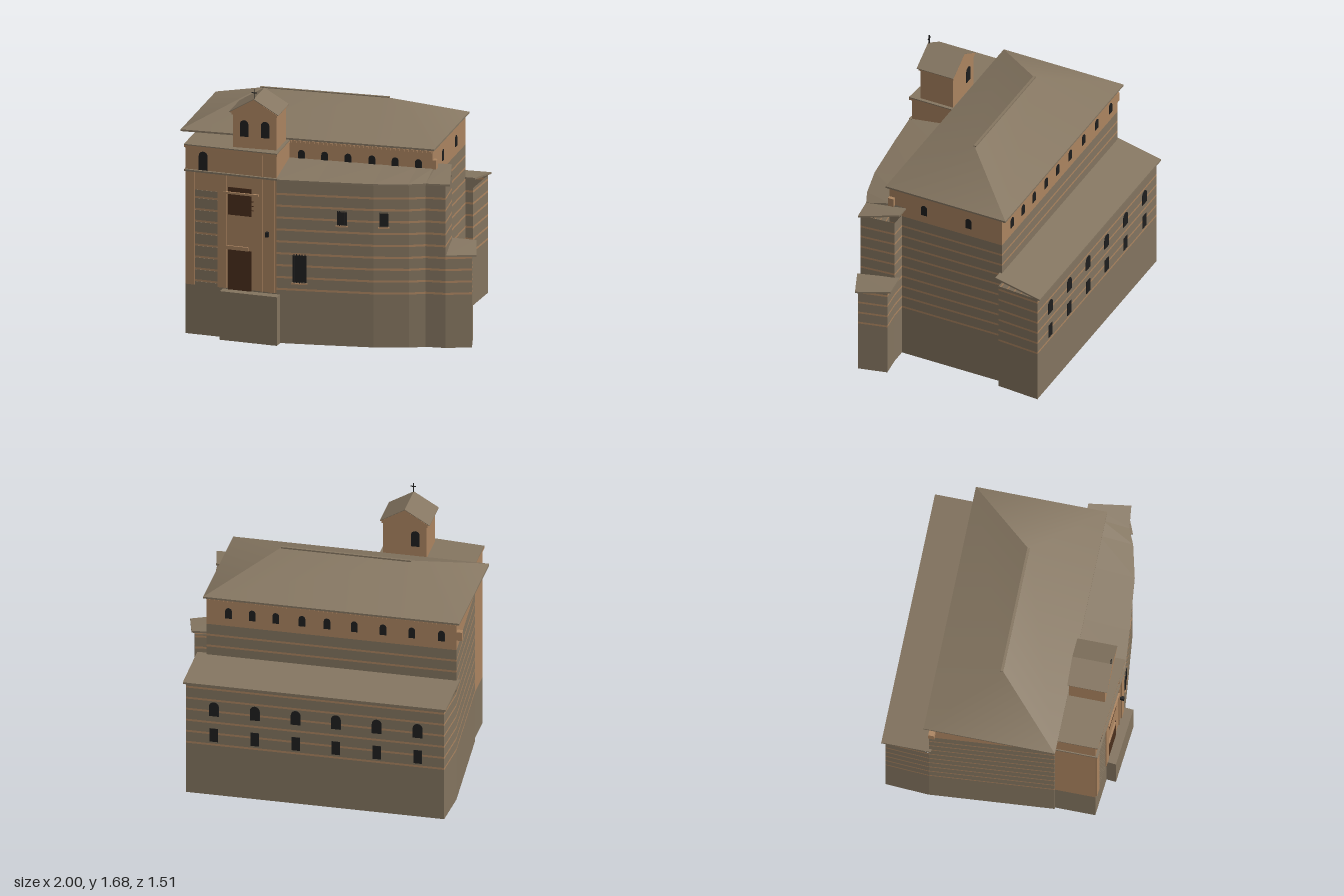
import * as THREE from 'three';
import { mergeGeometries } from 'three/addons/utils/BufferGeometryUtils.js';

const mat = (name, color, side = THREE.DoubleSide) => {
  const m = new THREE.MeshStandardMaterial({ color, side });
  m.name = name;
  return m;
};

export function createModel() {
  const stone = mat('stone', 0x83745f);
  const brick = mat('brick', 0xab8460);
  const tile = mat('roofTile', 0x857661);
  const iron = mat('darkIron', 0x1e1e1e, THREE.FrontSide);
  const wood = mat('darkWood', 0x4a2f1d, THREE.FrontSide);

  const model = new THREE.Group();
  model.name = 'church';
  const group = (name) => {
    const g = new THREE.Group();
    g.name = name;
    model.add(g);
    return g;
  };
  const add = (name, geo, material, parent = model) => {
    const m = new THREE.Mesh(geo, material);
    m.name = name;
    parent.add(m);
    return m;
  };
  const box = (name, w, h, d, x, y, z, material, parent, ry = 0) => {
    const m = add(name, new THREE.BoxGeometry(w, h, d), material, parent);
    m.position.set(x, y, z);
    m.rotation.y = ry;
    return m;
  };
  const flatGeometry = (pos) => {
    const geo = new THREE.BufferGeometry();
    geo.setAttribute('position', new THREE.Float32BufferAttribute(pos, 3));
    geo.computeVertexNormals();
    return geo;
  };
  const pushQuad = (pos, a, b, c, d) => pos.push(...a, ...b, ...c, ...a, ...c, ...d);

  // Solid vertical prism over an [x, z] outline
  const prism = (outline, y0, y1) => {
    const shape = new THREE.Shape(outline.map(([x, z]) => new THREE.Vector2(x, -z)));
    return new THREE.ExtrudeGeometry(shape, { depth: y1 - y0, bevelEnabled: false })
      .rotateX(-Math.PI / 2).translate(0, y0, 0);
  };
  // Hollow wall along an [x, z] path, open at top and bottom
  const wall = (path, y0, y1) => {
    const pos = [];
    for (let i = 0; i + 1 < path.length; i++) {
      const [[ax, az], [bx, bz]] = [path[i], path[i + 1]];
      pushQuad(pos, [ax, y0, az], [bx, y0, bz], [bx, y1, bz], [ax, y1, az]);
    }
    return flatGeometry(pos);
  };
  // Stone wall divided by thin brick courses
  const stripes = [0.364, 0.444, 0.524, 0.604, 0.684, 0.764, 0.844, 0.924, 1.003];
  const bandedWall = (name, path, y0, y1) => {
    const g = group(name);
    const stones = [], bricks = [];
    let y = y0;
    for (const s of stripes) {
      if (s + 0.007 > y1) continue;
      stones.push(wall(path, y, s - 0.007));
      bricks.push(wall(path, s - 0.007, s + 0.007));
      y = s + 0.007;
    }
    stones.push(wall(path, y, y1));
    add(name + 'Stone', mergeGeometries(stones), stone, g);
    add(name + 'Courses', mergeGeometries(bricks), brick, g);
  };

  // Roof slab lofted from front edge A to rear edge B, in order of rising x
  const slab = (name, A, B, t = 0.012) => {
    const low = ([x, y, z]) => [x, y - t, z];
    const rings = A.map((a, i) => [a, B[i], low(B[i]), low(a)]);
    const pos = [];
    for (let i = 0; i + 1 < rings.length; i++)
      for (let j = 0; j < 4; j++) {
        const k = (j + 1) % 4;
        pushQuad(pos, rings[i][j], rings[i + 1][j], rings[i + 1][k], rings[i][k]);
      }
    pushQuad(pos, ...rings[0]);
    pushQuad(pos, ...rings[rings.length - 1].slice().reverse());
    add(name, flatGeometry(pos), tile);
  };

  // Thin window plate, arched or square, standing on y
  const windowPlate = (w, h, arched) => {
    const s = new THREE.Shape();
    const r = w / 2;
    s.moveTo(-r, 0);
    s.lineTo(r, 0);
    if (arched) {
      s.lineTo(r, h - r);
      s.absarc(0, h - r, r, 0, Math.PI, false);
    } else {
      s.lineTo(r, h);
      s.lineTo(-r, h);
    }
    s.closePath();
    return new THREE.ExtrudeGeometry(s, { depth: 0.003, bevelEnabled: false, curveSegments: 6 });
  };
  const windowAt = (name, w, h, x, y, z, ry, arched = true, parent = model) => {
    const m = add(name, windowPlate(w, h, arched), iron, parent);
    m.position.set(x, y, z);
    m.rotation.y = ry;
  };

  // Bent street front: tower on the left, wing to the right
  const front = [[-0.89, 0.635], [-0.27, 0.69], [0, 0.665], [0.36, 0.625], [0.58, 0.57], [0.68, 0.523], [0.81, 0.515]];
  const frontAt = (x) => {
    let i = 0;
    while (i < front.length - 2 && x > front[i + 1][0]) i++;
    const [a, b] = [front[i], front[i + 1]];
    const k = (b[1] - a[1]) / (b[0] - a[0]);
    return { z: a[1] + k * (x - a[0]), ry: -Math.atan(k) };
  };
  const frontBox = (name, x0, x1, y0, y1, depth, material, parent) => {
    const x = (x0 + x1) / 2;
    const { z, ry } = frontAt(x);
    box(name, x1 - x0, y1 - y0, depth, x, (y0 + y1) / 2, z + depth / 2 - 0.001, material, parent, ry);
  };

  // Main hall, its left wall running slightly askew
  const hall = [[-0.965, -0.44], [-0.9, 0.37], [0.685, 0.37], [0.685, -0.44], [-0.965, -0.44]];
  bandedWall('hallWall', hall, 0, 1.08);
  add('hallUpperWall', wall(hall, 1.08, 1.28), brick);
  const dentils = [];
  for (let x = -0.95; x < 0.68; x += 0.03)
    for (const z of [-0.446, 0.376])
      if (z < 0 || x > -0.26) dentils.push(new THREE.BoxGeometry(0.014, 0.016, 0.014).translate(x, 1.265, z));
  add('corniceDentils', mergeGeometries(dentils), brick);
  box('cornerBlockRight', 0.045, 0.06, 0.04, 0.686, 1.18, 0.35, brick);
  box('cornerBlockLeft', 0.05, 0.06, 0.04, -0.975, 1.18, -0.42, brick);

  // Hipped roof, rounded over two of its hips
  const hipPoints = [[-0.99, 1.29, 0.39], [0.7, 1.29, 0.39], [0.7, 1.29, -0.472], [-0.99, 1.29, -0.472],
    [-0.57, 1.48, -0.037], [0.28, 1.48, -0.037]];
  const hipSide = (index) => {
    const geo = new THREE.BufferGeometry();
    geo.setAttribute('position', new THREE.Float32BufferAttribute(hipPoints.flat(), 3));
    geo.setIndex(index);
    geo.computeVertexNormals();
    return geo;
  };
  const hallRoof = group('hallRoof');
  add('frontAndRightSlope', hipSide([0, 1, 5, 0, 5, 4, 1, 2, 5]), tile, hallRoof);
  add('backAndLeftSlope', hipSide([2, 3, 4, 2, 4, 5, 3, 0, 4]), tile, hallRoof);
  box('hallEave', 1.69, 0.012, 0.862, -0.145, 1.284, -0.041, tile, hallRoof);
  box('ridgeCap', 0.86, 0.01, 0.016, -0.145, 1.48, -0.042, tile, hallRoof);

  // Hall windows
  const hallWindows = group('hallWindows');
  for (const x of [-0.19, -0.035, 0.12, 0.28, 0.435, 0.59])
    windowAt('frontHallWindow', 0.045, 0.075, x, 1.135, 0.37, 0, true, hallWindows);
  for (const x of [0.54, 0.384, 0.228, 0.055, -0.11, -0.29, -0.48, -0.67, -0.866])
    windowAt('backHallWindow', 0.043, 0.075, x, 1.135, -0.44, Math.PI, true, hallWindows);
  for (const z of [0.12, -0.2])
    windowAt('sideHallWindow', 0.043, 0.075, 0.685, 1.137, z, Math.PI / 2, true, hallWindows);

  // Rear aisle with lean-to roof
  bandedWall('aisleWall', [[-0.966, -0.44], [-0.95, -0.73], [0.755, -0.73], [0.735, -0.44], [0.685, -0.44]], 0, 0.79);
  slab('aisleRoof', [[-0.985, 0.862, -0.425], [0.75, 0.862, -0.425]],
    [[-0.965, 0.805, -0.755], [0.77, 0.805, -0.755]]);
  const aisleWindows = group('aisleWindows');
  for (const x of [0.57, 0.3, 0.03, -0.235, -0.505, -0.775]) {
    windowAt('aisleUpperWindow', 0.065, 0.1, x, 0.57, -0.73, Math.PI, true, aisleWindows);
    windowAt('aisleLowerWindow', 0.055, 0.095, x, 0.385, -0.73, Math.PI, false, aisleWindows);
  }

  // Curved front wing and its roof
  bandedWall('wingWall', [...front.slice(1), [0.79, 0.28], [0.685, 0.28]], 0, 1.09);
  const wingEdge = [...front.slice(1, 5), [0.685, 0.523], [0.69, 0.523], [0.84, 0.505]];
  slab('wingRoof', wingEdge.map(([x, z]) => [x, 1.103, z + 0.015]),
    wingEdge.map(([x], i) => [i === 6 ? 0.78 : x, 1.155, i > 4 ? 0.25 : 0.36]));

  // Low side porch
  bandedWall('porchWall', [[0.81, 0.515], [0.97, 0.455], [0.925, 0.265], [0.79, 0.28]], 0, 0.615);
  slab('porchRoof', [[0.82, 0.63, 0.535], [1.0, 0.625, 0.46]], [[0.78, 0.662, 0.25], [0.94, 0.655, 0.235]]);

  // Barred windows on the wing
  const barred = group('barredWindows');
  for (const [x, w, y0, y1] of [[0.155, 0.065, 0.815, 0.9], [0.425, 0.06, 0.815, 0.9], [-0.12, 0.09, 0.415, 0.595]]) {
    frontBox('wingWindow', x - w / 2, x + w / 2, y0, y1, 0.004, iron, barred);
    for (let i = 0; i < 5; i++) {
      const bx = x - w / 2 + (w * (i + 0.5)) / 5;
      frontBox('windowBar', bx - 0.003, bx + 0.003, y0 - 0.005, y1 + 0.008, 0.007, iron, barred);
    }
    frontBox('windowSill', x - w / 2 - 0.008, x + w / 2 + 0.008, y0 - 0.014, y0 - 0.005, 0.01, brick, barred);
  }

  // Entrance tower
  const towerFace = [[-0.89, 0.36], ...front.slice(0, 2)];
  const tower = [...towerFace, [-0.27, 0.36]];
  const wider = tower.map(([x, z]) => [x + (x < -0.5 ? -0.007 : 0.007), z > 0.5 ? z + 0.017 : z]);
  add('towerBase', wall(towerFace, 0, 0.335), stone);
  add('towerWall', wall(towerFace, 0.335, 1.095), brick);
  add('towerUpperWall', wall(tower, 1.095, 1.262), brick);
  add('towerStringCourse', prism(wider, 1.095, 1.107), tile);
  add('towerCornice', prism(wider, 1.255, 1.27), brick);
  add('towerRoof', prism(wider, 1.27, 1.277), tile);
  const facade = group('towerFacade');
  let panelY = 0.335;
  for (const s of [...stripes.filter((v) => v < 0.95), 0.98]) {
    frontBox('stonePanel', -0.825, -0.67, panelY, s - 0.007, 0.004, stone, facade);
    panelY = s + 0.007;
  }
  for (const [a, b] of [[-0.88, -0.825], [-0.67, -0.61], [-0.325, -0.28]])
    frontBox('pilaster', a, b, 0.335, 1.095, 0.01, brick, facade);
  frontBox('door', -0.6, -0.44, 0.325, 0.597, 0.006, wood, facade);
  frontBox('doorLintel', -0.61, -0.46, 0.597, 0.622, 0.012, brick, facade);
  frontBox('upperWindow', -0.6, -0.44, 0.83, 1.015, 0.006, wood, facade);
  frontBox('upperLintel', -0.63, -0.39, 0.972, 0.985, 0.018, brick, facade);
  for (const y of [0.87, 0.9, 0.93]) frontBox('windowRail', -0.45, -0.425, y, y + 0.004, 0.008, wood, facade);
  frontBox('drainPipe', -0.373, -0.365, 0.335, 1.255, 0.008, brick, facade);
  frontBox('wallLamp', -0.34, -0.32, 0.71, 0.742, 0.028, iron, facade);
  const tw = frontAt(-0.77);
  windowAt('towerWindow', 0.06, 0.125, -0.77, 1.108, tw.z, tw.ry, true, facade);

  // Entrance platform
  add('entrancePlatform', prism([[-0.64, 0.72], [-0.25, 0.755], [-0.245, 0.69], [-0.635, 0.655]], 0, 0.327), stone);

  // Bell turret with gabled roof and cross
  const turret = group('bellTurret');
  const profile = (points, depth, z) => new THREE.ExtrudeGeometry(
    new THREE.Shape(points.map(([x, y]) => new THREE.Vector2(x, y))),
    { depth, bevelEnabled: false }).translate(-0.432, 0, z);
  box('turretWalls', 0.29, 0.24, 0.235, -0.43, 1.39, 0.5175, brick, turret);
  box('turretCornice', 0.305, 0.018, 0.25, -0.43, 1.508, 0.52, brick, turret);
  add('turretGable', profile([[-0.162, 1.515], [0.162, 1.515], [0, 1.611]], 0.263, 0.391), brick, turret);
  add('turretRoof', profile([[-0.164, 1.515], [0, 1.611], [0.164, 1.515], [0.164, 1.519], [0, 1.616], [-0.164, 1.519]],
    0.263, 0.391), tile, turret);
  for (const x of [-0.5, -0.36]) windowAt('bellOpening', 0.056, 0.11, x, 1.353, 0.635, 0, true, turret);
  windowAt('rearBellOpening', 0.056, 0.11, -0.5, 1.353, 0.4, Math.PI, true, turret);
  box('crossPost', 0.005, 0.075, 0.005, -0.43, 1.643, 0.645, iron, turret);
  box('crossArm', 0.034, 0.005, 0.005, -0.43, 1.656, 0.645, iron, turret);

  return model;
}
